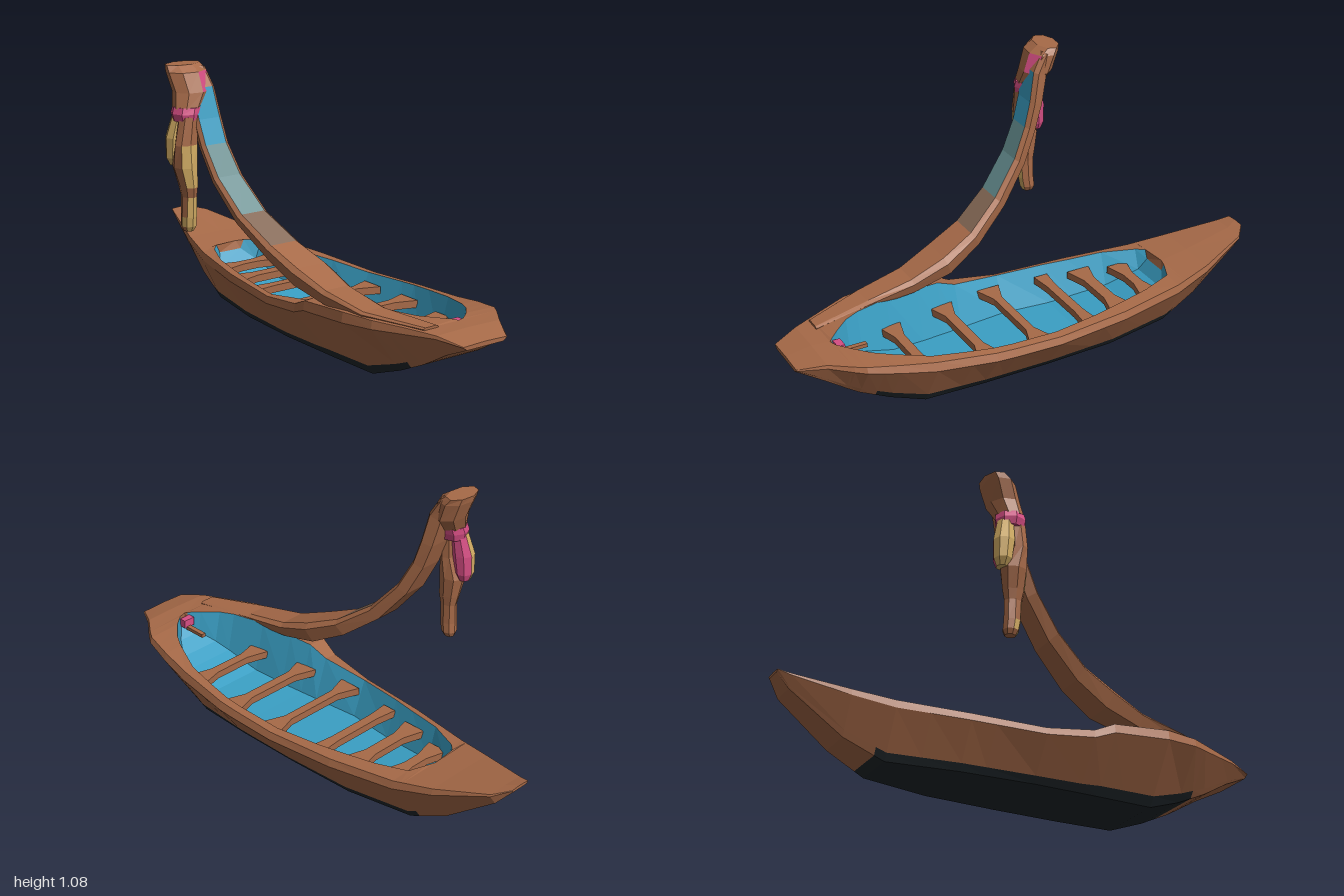
import * as THREE from 'three';

const mat = (name, color) => Object.assign(new THREE.MeshStandardMaterial({ color }), { name });
const brown = mat('wood brown', 0xa76a48);
const blue = mat('bright blue', 0x3a9fc4);
const teal = mat('worn teal', 0x628a8c);
const dull = mat('worn wood', 0x826653);
const black = mat('keel black', 0x20272b);
const pink = mat('pink', 0xd64e84);
const yellow = mat('ochre yellow', 0xd3ad64);

// Joins closed rings of points into faceted meshes, one per colour.
// Rings run counter-clockwise about the direction of advance.
function loft(name, rings, pick = () => brown, capMat = brown) {
  const parts = new Map();
  const tri = (m, ...pts) => {
    const [a, b, c] = pts;
    if (b.clone().sub(a).cross(c.clone().sub(a)).length() < 1e-8) return;
    if (!parts.has(m)) parts.set(m, []);
    pts.forEach((p) => parts.get(m).push(p.x, p.y, p.z));
  };
  const n = rings[0].length;
  for (let i = 0; i < rings.length - 1; i++) {
    for (let j = 0; j < n; j++) {
      const k = (j + 1) % n, m = pick(i, j);
      tri(m, rings[i][j], rings[i][k], rings[i + 1][k]);
      tri(m, rings[i][j], rings[i + 1][k], rings[i + 1][j]);
    }
  }
  [rings[0], rings[rings.length - 1]].forEach((ring, end) => {
    const c = ring.reduce((s, p) => s.add(p), new THREE.Vector3()).divideScalar(n);
    ring.forEach((p, j) => {
      const q = ring[(j + 1) % n];
      if (end) tri(capMat, c, p, q); else tri(capMat, c, q, p);
    });
  });
  const group = new THREE.Group();
  group.name = name;
  for (const [m, pos] of parts) {
    const g = new THREE.BufferGeometry();
    g.setAttribute('position', new THREE.Float32BufferAttribute(pos, 3));
    g.computeVertexNormals();
    const mesh = new THREE.Mesh(g, m);
    mesh.name = `${name} ${m.name}`;
    group.add(mesh);
  }
  return group;
}

// Linear lookup in a table whose rows start with x
function sample(table, x) {
  const i = Math.max(1, table.findIndex((r) => r[0] >= x));
  const a = table[i - 1], b = table[i], t = (x - a[0]) / (b[0] - a[0]);
  return a.map((v, k) => THREE.MathUtils.lerp(v, b[k], t));
}

// x, rim z back, rim z front, rim y back, rim y front, bottom y, bottom z back, bottom z front
const HULL = [
  [-1, -.15, -.06, .295, .295, .285, -.14, -.07],
  [-.95, -.21, -.045, .282, .282, .23, -.18, -.07],
  [-.74, -.29, .02, .24, .24, .075, -.2, -.05],
  [-.58, -.33, .06, .215, .215, .003, -.22, -.03],
  [-.3, -.38, .115, .2, .2, 0, -.27, .02],
  [0, -.405, .15, .19, .19, 0, -.28, .04],
  [.2, -.41, .165, .2, .215, 0, -.28, .04],
  [.28, -.41, .18, .205, .25, 0, -.28, .04],
  [.52, -.385, .185, .225, .27, 0, -.27, .035],
  [.66, -.365, .16, .245, .27, .05, -.26, .02],
  [.79, -.335, .105, .26, .265, .11, -.25, .015],
  [.9, -.25, .06, .258, .258, .175, -.22, .01],
  [1, -.19, .02, .235, .235, .22, -.17, .0],
];
// x, opening z back, opening z front, floor y
const WELL = [
  [-.61, -.17, -.03, .19], [-.58, -.24, .0, .14], [-.45, -.285, .055, .08],
  [-.2, -.335, .1, .05], [0, -.36, .125, .05], [.25, -.37, .1, .05],
  [.5, -.34, .06, .06], [.7, -.26, .01, .13], [.78, -.19, -.06, .18], [.82, -.14, -.1, .22],
];
const P = (x, y, z) => new THREE.Vector3(x, y, z);

function hull() {
  const xs = [-1, -.95, -.74, -.62, -.61, -.58, -.45, -.3, -.2, 0, .2, .28, .38, .52, .66, .72, .78, .82, .83, .9, 1];
  const mix = THREE.MathUtils.lerp;
  const rings = xs.map((x) => {
    const [, zb, zf, yb, yf, y0, bb, bf] = sample(HULL, x);
    const mid = (zb + zf) / 2, top = (yb + yf) / 2 + .003;
    const open = x >= -.61 && x <= .82;
    const [, ib, inf, fl] = open ? sample(WELL, x) : [x, mid, mid, top];
    const side = (zr, yr, zk, t) => P(x, mix(y0, yr, t), mix(zk, zr, Math.min(1, t * 1.2)));
    return [
      P(x, yb, mix(zb, mid, .04)),
      P(x, open ? yb + .005 : top, ib), P(x, fl, mix(ib, inf, .12)),
      P(x, fl, mix(inf, ib, .12)), P(x, open ? yf + .005 : top, inf),
      P(x, yf, mix(zf, mid, .02)),
      side(zf, yf, bf, .85), side(zf, yf, bf, .14), P(x, y0, bf),
      P(x, y0, bb), side(zb, yb, bb, .16), side(zb, yb, bb, .85),
    ];
  });
  return loft('hull', rings, (i, j) => {
    if (j >= 1 && j <= 3 && xs[i] >= -.61 && xs[i] < .82) return blue;
    if (j >= 7 && j <= 9 && xs[i] >= -.62 && xs[i] < .72) return black;
    return brown;
  });
}

// Cross bench, narrow in the middle and flared where it meets the sides
function bench(x, w, e) {
  const [, zb, zf] = sample(WELL, x);
  const a = zb + .025, b = zf - .02;
  const s = new THREE.Shape([[-e, a], [e, a], [w, a + .09], [w, b - .09], [e, b], [-e, b], [-w, b - .09], [-w, a + .09]]
    .map(([u, v]) => new THREE.Vector2(u, v)));
  const g = new THREE.ExtrudeGeometry(s, { depth: .03, bevelEnabled: false });
  g.rotateX(Math.PI / 2);
  const m = new THREE.Mesh(g, brown);
  m.position.set(x, .165, 0);
  m.name = 'bench';
  return m;
}

function box(name, material, size, position) {
  const m = new THREE.Mesh(new THREE.BoxGeometry(...size), material);
  m.position.set(...position);
  m.name = name;
  return m;
}

// Curved arm rising off the front gunwale: x, y, z, half width, half thickness
function arm() {
  const path = [
    [.84, .26, .03, .035, .012], [.6, .268, .1, .06, .018], [.4, .292, .115, .07, .03],
    [.25, .34, .128, .085, .04], [.11, .408, .155, .078, .034], [-.03, .513, .2, .07, .03],
    [-.14, .648, .235, .066, .027], [-.2, .77, .255, .062, .026], [-.232, .87, .265, .062, .028],
    [-.258, .985, .278, .06, .03], [-.3, 1.055, .295, .065, .03],
  ];
  const rings = path.map(([x, y, z, w, t], i) => {
    const a = path[Math.max(0, i - 1)], b = path[Math.min(path.length - 1, i + 1)];
    const d = new THREE.Vector2(b[0] - a[0], b[1] - a[1]).normalize();
    return [[.5, 1], [1, .8], [1, -.72], [.5, -1], [-1, -.75], [-1, .75]]
      .map(([n, s]) => P(x + d.y * n * t, y - d.x * n * t, z + s * w));
  });
  const paint = { 4: dull, 5: teal, 6: teal, 7: blue, 8: blue };
  return loft('curved arm', rings, (i, j) => (j === 1 && paint[i]) || brown);
}

// Faceted column from top to bottom: y, x, z, radius x, radius z
function column(name, rows, twist, pick, capMat) {
  const n = 8;
  const rings = rows.map(([y, x, z, rx, rz]) => Array.from({ length: n }, (_, j) => {
    const a = (j / n) * Math.PI * 2 + twist;
    return P(x + Math.cos(a) * rx, y, z + Math.sin(a) * rz);
  }));
  return loft(name, rings, pick, capMat);
}

export function createModel() {
  const model = new THREE.Group();
  model.name = 'boat with curved arm';
  model.add(hull(), arm());
  // Benches: x, half width in the middle, half width at the ends
  [[-.5, .022, .045], [-.34, .025, .05], [-.18, .02, .03], [.055, .018, .05], [.28, .02, .05], [.52, .02, .045]]
    .forEach((b) => model.add(bench(...b)));

  // Pink fitting and short peg at the end of the well
  model.add(box('fitting', pink, [.03, .035, .05], [.8, .24, -.12]));
  model.add(box('peg', brown, [.1, .015, .02], [.74, .22, -.125]));

  // Head of the arm, tie band and hanging bundle
  model.add(column('arm head', [
    [1.08, -.323, .31, .045, .078], [1.055, -.302, .308, .062, .086],
    [.98, -.275, .303, .062, .078], [.92, -.262, .33, .055, .06],
  ], -.2, (i, j) => (i === 1 && j === 7 ? pink : brown)));
  model.add(column('tie band', [
    [.925, -.262, .33, .058, .06], [.9, -.262, .337, .062, .06], [.87, -.262, .338, .056, .05],
  ], .06, () => pink, pink));
  model.add(column('hanging figure', [
    [.89, -.24, .34, .036, .04], [.78, -.24, .352, .036, .05], [.69, -.255, .35, .054, .048],
    [.61, -.25, .34, .045, .034], [.57, -.25, .337, .036, .028], [.49, -.253, .337, .034, .03],
    [.45, -.258, .335, .032, .03], [.43, -.26, .335, .022, .02],
  ], .06, (i, j) => {
    if (i === 5 && j === 1) return yellow;
    return (j === 0 || j === 7) && i !== 0 && i !== 3 ? yellow : brown;
  }));
  model.add(column('hanging pouch', [
    [.89, -.288, .345, .032, .035], [.8, -.3, .358, .043, .045],
    [.72, -.306, .36, .036, .04], [.69, -.308, .358, .022, .025],
  ], .06, (i, j) => (j < 4 ? yellow : pink), yellow));
  return model;
}
